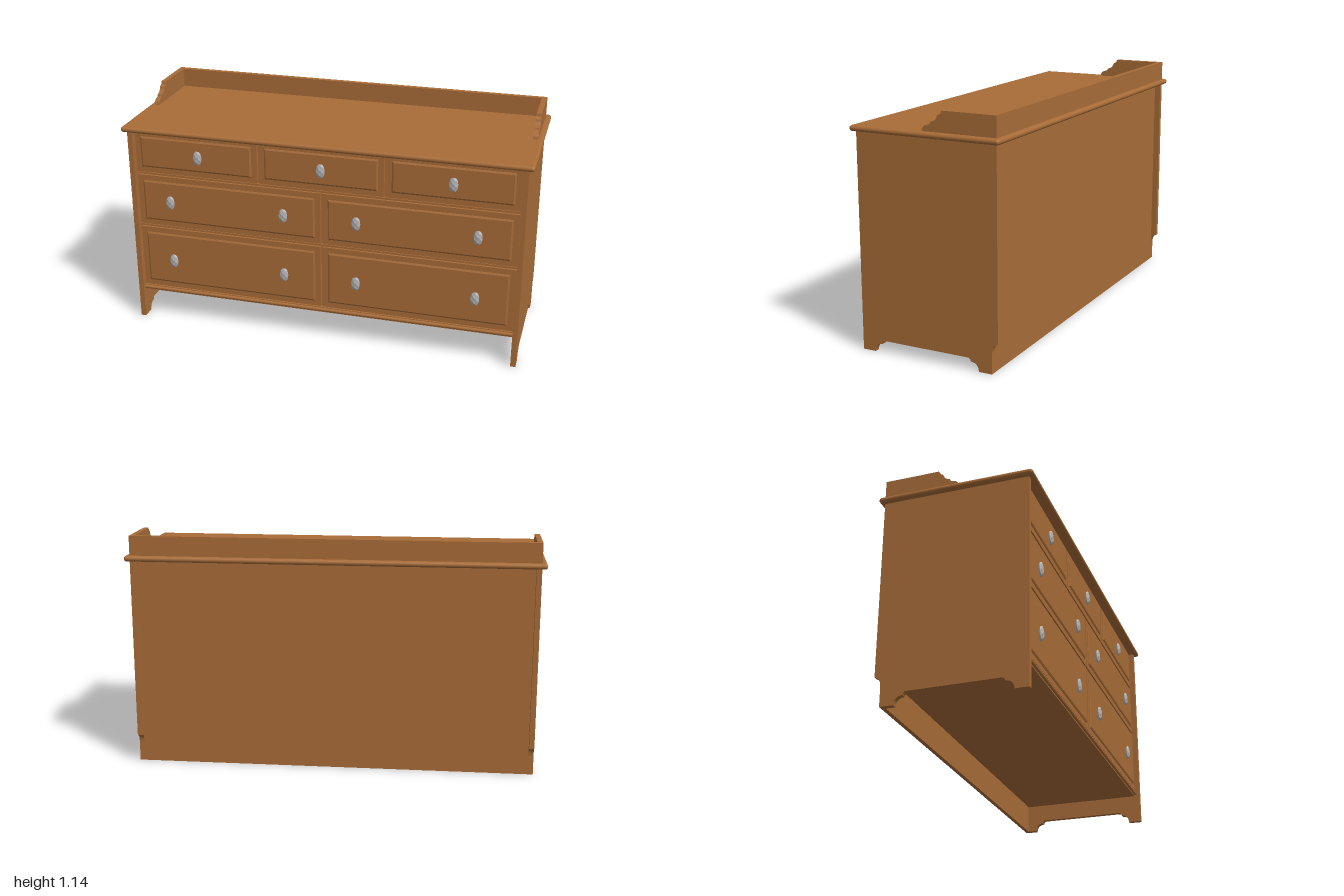
import * as THREE from 'three';
import { RoundedBoxGeometry } from 'three/addons/geometries/RoundedBoxGeometry.js';

export function createModel() {
  const model = new THREE.Group();
  model.name = 'dresser';
  const wood = new THREE.MeshStandardMaterial({ color: 0xa86c38 });
  wood.name = 'warm wood';
  const silver = new THREE.MeshStandardMaterial({ color: 0xb4b4b6 });
  silver.name = 'silver';

  const add = (name, geometry, material = wood, parent = model) => {
    const mesh = new THREE.Mesh(geometry, material);
    mesh.name = name;
    parent.add(mesh);
    return mesh;
  };
  // Box given by its lower and upper limits
  const box = (name, x0, x1, y0, y1, z0, z1, parent = model) => {
    const mesh = add(name, new THREE.BoxGeometry(x1 - x0, y1 - y0, z1 - z0), wood, parent);
    mesh.position.set((x0 + x1) / 2, (y0 + y1) / 2, (z0 + z1) / 2);
    return mesh;
  };
  // Board cut from a (z, y) outline, standing between x0 and x0 + width
  const board = (name, shape, x0, width) => {
    const geometry = new THREE.ExtrudeGeometry(shape, { depth: width, bevelEnabled: false, curveSegments: 8 });
    geometry.rotateY(-Math.PI / 2);
    geometry.scale(1, 1, 1);
    geometry.translate(x0 + width, 0, 0);
    return add(name, geometry);
  };

  // Side panels with cut-out feet and a skirting notch at the back
  const side = new THREE.Shape();
  side.moveTo(0.35, 0);
  side.lineTo(0.35, 1.02);
  side.lineTo(-0.35, 1.02);
  side.lineTo(-0.35, 0.142);
  side.quadraticCurveTo(-0.322, 0.135, -0.32, 0.095);
  side.lineTo(-0.32, 0);
  side.lineTo(-0.255, 0);
  side.quadraticCurveTo(-0.253, 0.04, -0.215, 0.041);
  side.quadraticCurveTo(-0.212, 0.056, -0.2, 0.057);
  side.lineTo(0.23, 0.057);
  side.quadraticCurveTo(0.242, 0.056, 0.245, 0.041);
  side.quadraticCurveTo(0.283, 0.04, 0.285, 0);

  // Stepped scroll ends of the top gallery
  const scroll = new THREE.Shape();
  scroll.moveTo(0.012, 1.044);
  scroll.quadraticCurveTo(0.01, 1.068, -0.012, 1.073);
  scroll.lineTo(-0.028, 1.077);
  scroll.lineTo(-0.032, 1.088);
  scroll.quadraticCurveTo(-0.06, 1.092, -0.066, 1.118);
  scroll.lineTo(-0.083, 1.127);
  scroll.lineTo(-0.086, 1.14);
  scroll.lineTo(-0.35, 1.14);
  scroll.lineTo(-0.35, 1.044);

  for (const [label, x0] of [['left', 0.95], ['right', -0.975]]) {
    board(label + 'SidePanel', side, x0, 0.025);
    board(label + 'GalleryEnd', scroll, x0, 0.025);
  }
  box('galleryBack', -0.95, 0.95, 1.044, 1.14, -0.35, -0.325);

  // Top slab with rounded edges
  add('top', new RoundedBoxGeometry(2, 0.027, 0.745, 4, 0.0134)).position.y = 1.0315;

  // Carcass, full height back panel and front rails
  box('carcass', -0.95, 0.95, 0.145, 1.02, -0.3, 0.305);
  box('backPanel', -0.95, 0.95, 0, 1.02, -0.32, -0.3);
  for (const y of [0.795, 0.513]) box('rail', -0.95, 0.95, y - 0.005, y + 0.005, 0.3, 0.32);
  box('baseRail', -0.95, 0.95, 0.145, 0.172, 0.3, 0.322);
  const bead = add('baseBead', new THREE.CylinderGeometry(0.009, 0.009, 1.9, 12));
  bead.rotation.z = Math.PI / 2;
  bead.position.set(0, 0.16, 0.324);

  // Faceted, softly fluted knob
  const knobGeometry = new THREE.IcosahedronGeometry(1, 2);
  const p = knobGeometry.attributes.position;
  for (let i = 0; i < p.count; i++) {
    const x = p.getX(i), y = p.getY(i), z = p.getZ(i);
    const k = 1 + 0.12 * Math.sin(9 * y) * Math.cos(5 * Math.atan2(x, z));
    p.setXYZ(i, x * k * 0.022, y * k * 0.036, z * k * 0.011);
  }
  knobGeometry.computeVertexNormals();

  // Drawer front with a bevelled raised field and its knobs
  const drawer = (x0, x1, y0, y1, knobXs, knobY) => {
    const group = new THREE.Group();
    group.name = 'drawer';
    model.add(group);
    box('drawerFront', x0, x1, y0, y1, 0.3, 0.324, group);
    const inset = 0.036, field = new THREE.Shape();
    field.moveTo(x0 + inset, y0 + inset);
    field.lineTo(x1 - inset, y0 + inset);
    field.lineTo(x1 - inset, y1 - inset);
    field.lineTo(x0 + inset, y1 - inset);
    const geometry = new THREE.ExtrudeGeometry(field, {
      depth: 0.002, bevelThickness: 0.004, bevelSize: 0.008, bevelSegments: 1,
    });
    geometry.translate(0, 0, 0.324);
    add('drawerField', geometry, wood, group);
    for (const x of knobXs) {
      add('knob', knobGeometry, silver, group).position.set(x, knobY, 0.338);
    }
  };

  // Three small drawers over two rows of wide ones
  drawer(-0.947, -0.32, 0.804, 1.018, [-0.62], 0.908);
  drawer(-0.31, 0.305, 0.804, 1.018, [0], 0.908);
  drawer(0.315, 0.947, 0.804, 1.018, [0.635], 0.908);
  for (const [y0, y1, knobY] of [[0.522, 0.787, 0.655], [0.178, 0.505, 0.335]]) {
    drawer(-0.947, -0.005, y0, y1, [-0.775, -0.19], knobY);
    drawer(0.005, 0.947, y0, y1, [0.175, 0.76], knobY);
  }
  return model;
}
